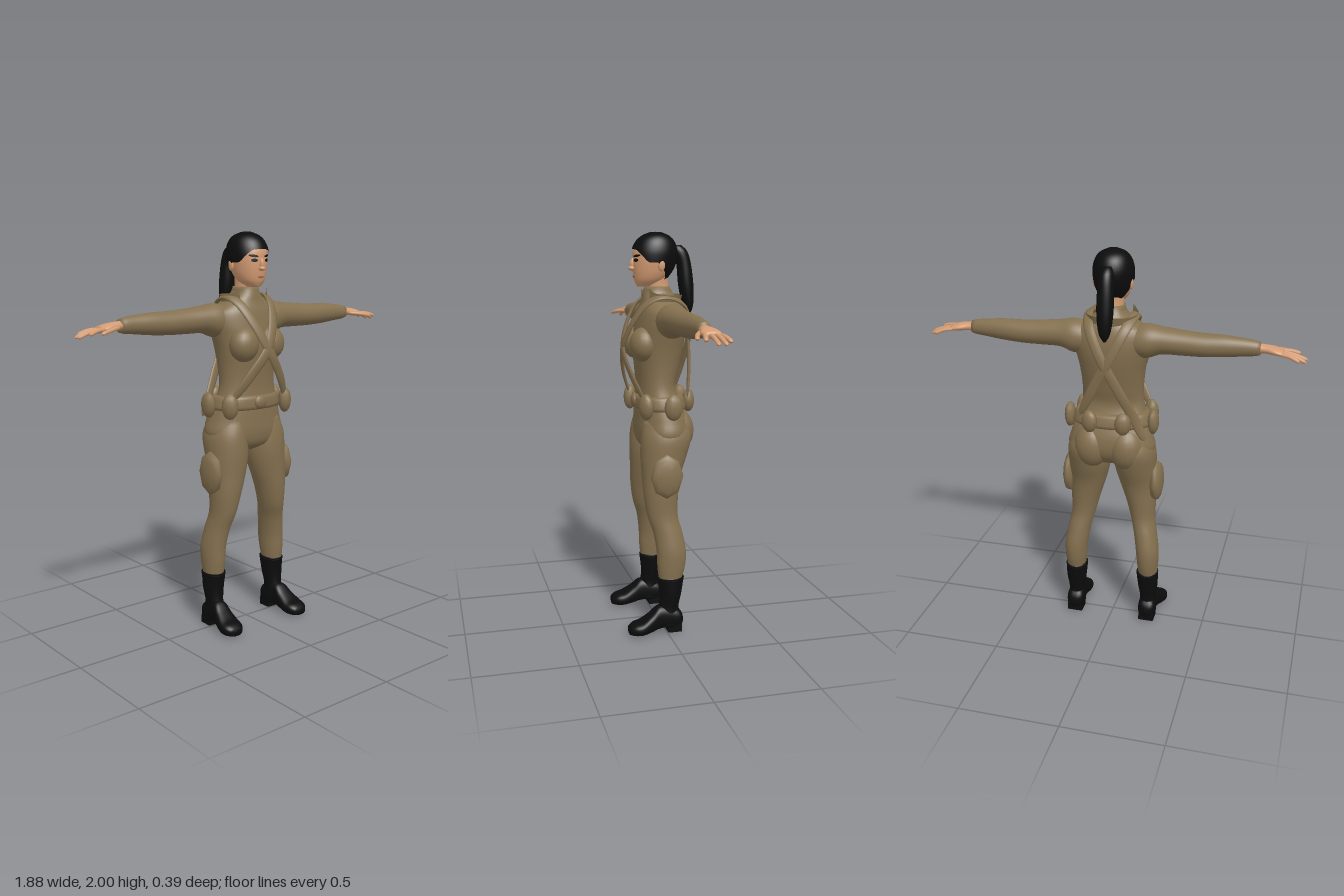
import * as THREE from 'three';

const mat = (name, color, side = THREE.FrontSide) => {
  const m = new THREE.MeshStandardMaterial({ color, side });
  m.name = name;
  return m;
};

// Smooth interpolation through rows sorted by their first number
function sample(rows, t) {
  let i = 0;
  while (i < rows.length - 2 && t > rows[i + 1][0]) i++;
  const p = rows[i], q = rows[i + 1], o = rows[i - 1] || p, r = rows[i + 2] || q;
  const h = q[0] - p[0], u = THREE.MathUtils.clamp((t - p[0]) / h, 0, 1), u2 = u * u, u3 = u2 * u;
  return p.map((_, k) => {
    const m0 = (q[k] - o[k]) / (q[0] - o[0]) * h, m1 = (r[k] - p[k]) / (r[0] - p[0]) * h;
    return (2 * u3 - 3 * u2 + 1) * p[k] + (u3 - 2 * u2 + u) * m0 + (3 * u2 - 2 * u3) * q[k] + (u3 - u2) * m1;
  });
}

// Surface from a function of (u, v); closed joins the last column to the first
function grid(fn, nu, nv, closed) {
  const pos = [], idx = [], cols = closed ? nu : nu + 1;
  for (let j = 0; j <= nv; j++) for (let i = 0; i < cols; i++) pos.push(...fn(i / nu, j / nv));
  for (let j = 0; j < nv; j++) for (let i = 0; i < nu; i++) {
    const a = j * cols + i, b = j * cols + (i + 1) % cols;
    idx.push(a, b, b + cols, a, b + cols, a + cols);
  }
  const g = new THREE.BufferGeometry();
  g.setAttribute('position', new THREE.Float32BufferAttribute(pos, 3));
  g.setIndex(idx);
  g.computeVertexNormals();
  return g;
}

const spow = (v, e) => Math.sign(v) * Math.abs(v) ** e;
const ring = ([y, cx, rx, zf, zb], a, e = 1, off = 0) => [
  cx + (rx + off) * spow(Math.sin(a), e), y,
  (zf + zb) / 2 + ((zf - zb) / 2 + off) * spow(Math.cos(a), e)];

// Capped loft of rows [height, centre x, half width, front z, back z]
function loft(rows, e = 1, nu = 32, nv = rows.length * 4) {
  const lo = rows[0][0], hi = rows[rows.length - 1][0];
  return grid((u, v) => {
    const j = Math.round(v * (nv + 2)) - 1, t = THREE.MathUtils.clamp(j / nv, 0, 1);
    const s = sample(rows, lo + (hi - lo) * t);
    if (j < 0 || j > nv) return [s[1], s[0], (s[3] + s[4]) / 2];
    return ring(s, u * 2 * Math.PI, e);
  }, nu, nv + 2, true);
}

// Flat rounded band along points; normalAt gives its facing direction
function band(points, w, t, normalAt, nv = 40) {
  const curve = new THREE.CatmullRomCurve3(points.map(p => new THREE.Vector3(...p)));
  return grid((u, v) => {
    const p = curve.getPoint(v), T = curve.getTangent(v), n = normalAt(p);
    const side = T.clone().cross(n).normalize(), N = side.clone().cross(T);
    const k = Math.sqrt(Math.max(0, 1 - Math.abs(2 * v - 1) ** 14)), a = u * 2 * Math.PI;
    return p.addScaledVector(side, k * w * Math.sin(a)).addScaledVector(N, k * t * Math.cos(a)).toArray();
  }, 10, nv, true);
}

const blob = (c, r, nu = 20, nv = 14) => new THREE.SphereGeometry(1, nu, nv).scale(...r).translate(...c);

function mirror(geo) {
  const g = geo.clone().scale(-1, 1, 1), ix = g.index.array;
  for (let i = 0; i < ix.length; i += 3) [ix[i], ix[i + 1]] = [ix[i + 1], ix[i]];
  return g;
}

export function createModel() {
  const model = new THREE.Group();
  const suit = mat('olive cloth', 0x84704f), suitOpen = mat('collar cloth', 0x84704f, THREE.DoubleSide);
  const skin = mat('skin', 0xd39b72), black = mat('black', 0x0c0c0c), lip = mat('lips', 0xa9694f);
  const add = (name, g, m) => {
    const mesh = new THREE.Mesh(g, m);
    mesh.name = name;
    model.add(mesh);
  };
  const pair = (name, g, m) => {
    add(name + 'Left', g, m);
    add(name + 'Right', mirror(g), m);
  };

  // Torso, chest and hips
  add('torso', loft([
    [0.91, 0, 0.05, 0.03, -0.05], [0.94, 0, 0.16, 0.085, -0.11], [1.0, 0, 0.222, 0.107, -0.15],
    [1.08, 0, 0.208, 0.108, -0.15], [1.16, 0, 0.182, 0.105, -0.12], [1.24, 0, 0.158, 0.1, -0.09],
    [1.32, 0, 0.155, 0.105, -0.105], [1.42, 0, 0.165, 0.115, -0.128], [1.5, 0, 0.182, 0.11, -0.14],
    [1.56, 0, 0.195, 0.1, -0.14], [1.62, 0, 0.182, 0.088, -0.13], [1.66, 0, 0.125, 0.075, -0.115],
    [1.7, 0, 0.07, 0.068, -0.085], [1.735, 0, 0.06, 0.058, -0.068]], 0.92, 40), suit);
  pair('chest', blob([0.083, 1.455, 0.085], [0.078, 0.085, 0.068]), suit);
  pair('glute', blob([0.088, 1.02, -0.085], [0.092, 0.115, 0.085]), suit);

  // Limbs; arms are lofted upright, then laid along x
  pair('leg', loft([
    [0.26, 0.198, 0.048, 0.033, -0.078], [0.34, 0.197, 0.056, 0.042, -0.1], [0.42, 0.194, 0.06, 0.045, -0.105],
    [0.52, 0.178, 0.06, 0.06, -0.088], [0.6, 0.161, 0.064, 0.085, -0.07], [0.7, 0.148, 0.078, 0.1, -0.075],
    [0.8, 0.132, 0.094, 0.105, -0.09], [0.9, 0.122, 0.107, 0.11, -0.125], [1.0, 0.118, 0.107, 0.105, -0.15],
    [1.08, 0.1, 0.09, 0.09, -0.13]]), suit);
  const lay = g => g.rotateZ(-Math.PI / 2);
  pair('sleeve', lay(loft([
    [0.1, -1.57, 0.07, 0.04, -0.11], [0.18, -1.573, 0.084, 0.045, -0.12], [0.25, -1.58, 0.067, 0.035, -0.11],
    [0.35, -1.576, 0.061, 0.024, -0.102], [0.45, -1.573, 0.057, 0.02, -0.097], [0.55, -1.575, 0.053, 0.014, -0.086],
    [0.65, -1.576, 0.043, 0.004, -0.072], [0.7, -1.575, 0.037, 0.001, -0.065], [0.72, -1.575, 0.031, -0.004, -0.06]])), suit);

  // Hands
  pair('palm', lay(loft([
    [0.69, -1.575, 0.023, -0.005, -0.057], [0.74, -1.575, 0.021, 0, -0.06],
    [0.79, -1.57, 0.019, 0.012, -0.076], [0.83, -1.562, 0.014, 0.008, -0.076]])), skin);
  const up = () => new THREE.Vector3(0, 1, 0);
  [[[0.73, 1.57, -0.01], [0.8, 1.562, 0.028], [0.855, 1.55, 0.045]],
    [[0.81, 1.566, 0], [0.86, 1.562, 0.012], [0.905, 1.548, 0.022]],
    [[0.81, 1.566, -0.022], [0.875, 1.555, -0.023], [0.94, 1.532, -0.024]],
    [[0.81, 1.566, -0.045], [0.87, 1.556, -0.052], [0.935, 1.53, -0.06]],
    [[0.81, 1.564, -0.065], [0.86, 1.558, -0.076], [0.905, 1.54, -0.09]],
  ].forEach((p, i) => pair(i ? 'finger' + i : 'thumb', band(p, 0.0105, 0.0095, up, 14), skin));

  // Boots
  pair('bootShaft', loft([
    [0.03, 0.2, 0.043, 0.05, -0.075], [0.08, 0.2, 0.045, 0.05, -0.07], [0.13, 0.2, 0.043, 0.036, -0.066],
    [0.2, 0.199, 0.052, 0.032, -0.08], [0.27, 0.196, 0.057, 0.04, -0.092], [0.285, 0.196, 0.058, 0.042, -0.095]]), black);
  pair('bootCuff', blob([0.196, 0.275, -0.026], [0.058, 0.028, 0.068]), black);
  pair('bootFoot', loft([
    [-0.085, 0.2, 0.022, -0.035, -0.085], [-0.07, 0.2, 0.042, -0.02, -0.11], [-0.02, 0.2, 0.046, -0.022, -0.13],
    [0.04, 0.205, 0.045, -0.018, -0.138], [0.08, 0.21, 0.052, -0.008, -0.105], [0.13, 0.215, 0.06, 0, -0.072],
    [0.17, 0.216, 0.053, -0.001, -0.06], [0.195, 0.216, 0.032, -0.006, -0.045]], 0.75).rotateX(Math.PI / 2), black);
  pair('bootHeel', new THREE.BoxGeometry(0.08, 0.04, 0.07).translate(0.2, 0.02, -0.04), black);

  // Head and neck
  const head = [
    [1.735, 0, 0.03, 0.095, 0.02], [1.76, 0, 0.06, 0.108, -0.03], [1.79, 0, 0.076, 0.114, -0.06],
    [1.83, 0, 0.086, 0.118, -0.085], [1.87, 0, 0.091, 0.118, -0.095], [1.91, 0, 0.09, 0.113, -0.097],
    [1.95, 0, 0.076, 0.092, -0.083], [1.975, 0, 0.052, 0.06, -0.055], [1.99, 0, 0.015, 0.02, -0.015]];
  const onHead = (y, a, off) => ring(sample(head, y), a, 1, off);
  add('head', loft(head), skin);
  add('neck', loft([[1.68, 0, 0.056, 0.05, -0.07], [1.74, 0, 0.053, 0.052, -0.062], [1.8, 0, 0.055, 0.06, -0.06]]), skin);
  add('noseBridge', blob([0, 1.843, 0.115], [0.011, 0.032, 0.018]), skin);
  add('noseTip', blob([0, 1.824, 0.122], [0.017, 0.012, 0.019]), skin);
  pair('ear', blob([0.09, 1.84, -0.005], [0.01, 0.03, 0.018]), skin);

  // Face details as thin lens-shaped patches on the head
  const patch = (y, a, da, dy, tilt = 0) => grid((u, v) => {
    const s = 2 * u - 1, h = Math.sqrt(Math.max(0, 1 - s * s));
    return onHead(y + tilt * s + dy * h * (2 * v - 1), a + da * s, 0.003);
  }, 12, 4, false);
  pair('eye', patch(1.863, 0.42, 0.18, 0.008), black);
  pair('eyebrow', patch(1.884, 0.45, 0.26, 0.006, 0.003), black);
  add('mouth', patch(1.782, 0, 0.27, 0.006), lip);

  // Hair cap with a varying hairline, and the ponytail
  const hairline = [[0, 1.915], [0.5, 1.91], [0.85, 1.885], [1.15, 1.855], [1.6, 1.85], [2, 1.81], [2.5, 1.765], [Math.PI, 1.755]];
  add('hairCap', grid((u, v) => {
    const a = u * 2 * Math.PI, y0 = sample(hairline, Math.min(a, 2 * Math.PI - a))[1];
    if (v === 1) return [0, 2, 0.002];
    const y = 1.99 - (1.99 - y0) * (1 - v) ** 2, p = onHead(y, a, 0.009);
    p[1] += 0.009 * Math.min(1, Math.max(0, (y - 1.9) / 0.09));
    return p;
  }, 48, 20, true), black);
  add('ponytail', loft([
    [1.59, 0, 0.006, -0.16, -0.172], [1.62, 0, 0.024, -0.145, -0.188], [1.67, 0, 0.035, -0.13, -0.195],
    [1.75, 0, 0.041, -0.115, -0.192], [1.85, 0, 0.038, -0.105, -0.178], [1.91, 0, 0.032, -0.085, -0.158],
    [1.935, 0, 0.018, -0.085, -0.13]]), black);

  // Flared collar with raised front tips
  add('collar', grid((u, v) => {
    const a = 0.75 + u * (2 * Math.PI - 1.5), tip = Math.abs(2 * u - 1) ** 8;
    return ring([1.645 + v * (0.05 + 0.03 * tip), 0, 0.118 + 0.01 * v, 0.08 + 0.005 * v, -0.118 - 0.012 * v], a);
  }, 40, 4, false), suitOpen);

  // Crossed shoulder straps, the second one hanging below the belt
  const out = p => p.clone().sub(new THREE.Vector3(0, 1.42, 0));
  const strap = [
    [0.175, 1.18, 0.1], [0.09, 1.31, 0.15], [0.005, 1.43, 0.172], [-0.06, 1.56, 0.135], [-0.1, 1.655, 0.07],
    [-0.115, 1.69, -0.01], [-0.09, 1.645, -0.12], [-0.03, 1.52, -0.165], [0.06, 1.35, -0.155], [0.14, 1.19, -0.125]];
  add('strapRight', band(strap, 0.026, 0.009, out, 70), suit);
  add('strapLeft', band([...strap.map(([x, y, z]) => [-x, y, z]), [-0.19, 1.08, -0.12]], 0.026, 0.009, out, 70), suit);

  // Belt, buckle and pouches
  add('belt', loft([[1.13, 0, 0.195, 0.11, -0.135], [1.14, 0, 0.202, 0.117, -0.142],
    [1.19, 0, 0.188, 0.115, -0.13], [1.2, 0, 0.178, 0.106, -0.12]], 0.92, 40, 8), suit);
  add('buckle', blob([0, 1.167, 0.115], [0.04, 0.034, 0.016], 10, 8), suit);
  const pouch = (c, r, turn) => blob([0, 0, 0], r, 10, 8).rotateY(turn).translate(...c);
  pair('frontPouch', pouch([0.178, 1.158, 0.095], [0.042, 0.065, 0.032], 0.6), suit);
  pair('sidePouch', pouch([0.215, 1.155, -0.035], [0.047, 0.065, 0.028], Math.PI / 2), suit);
  pair('backPouch', pouch([0.085, 1.17, -0.145], [0.042, 0.058, 0.032], -0.3), suit);
  pair('thighPouch', new THREE.SphereGeometry(1, 8, 8).rotateX(Math.PI / 2).scale(0.083, 0.112, 0.036)
    .rotateY(Math.PI / 2).translate(0.23, 0.815, 0.002), suit);
  return model;
}
